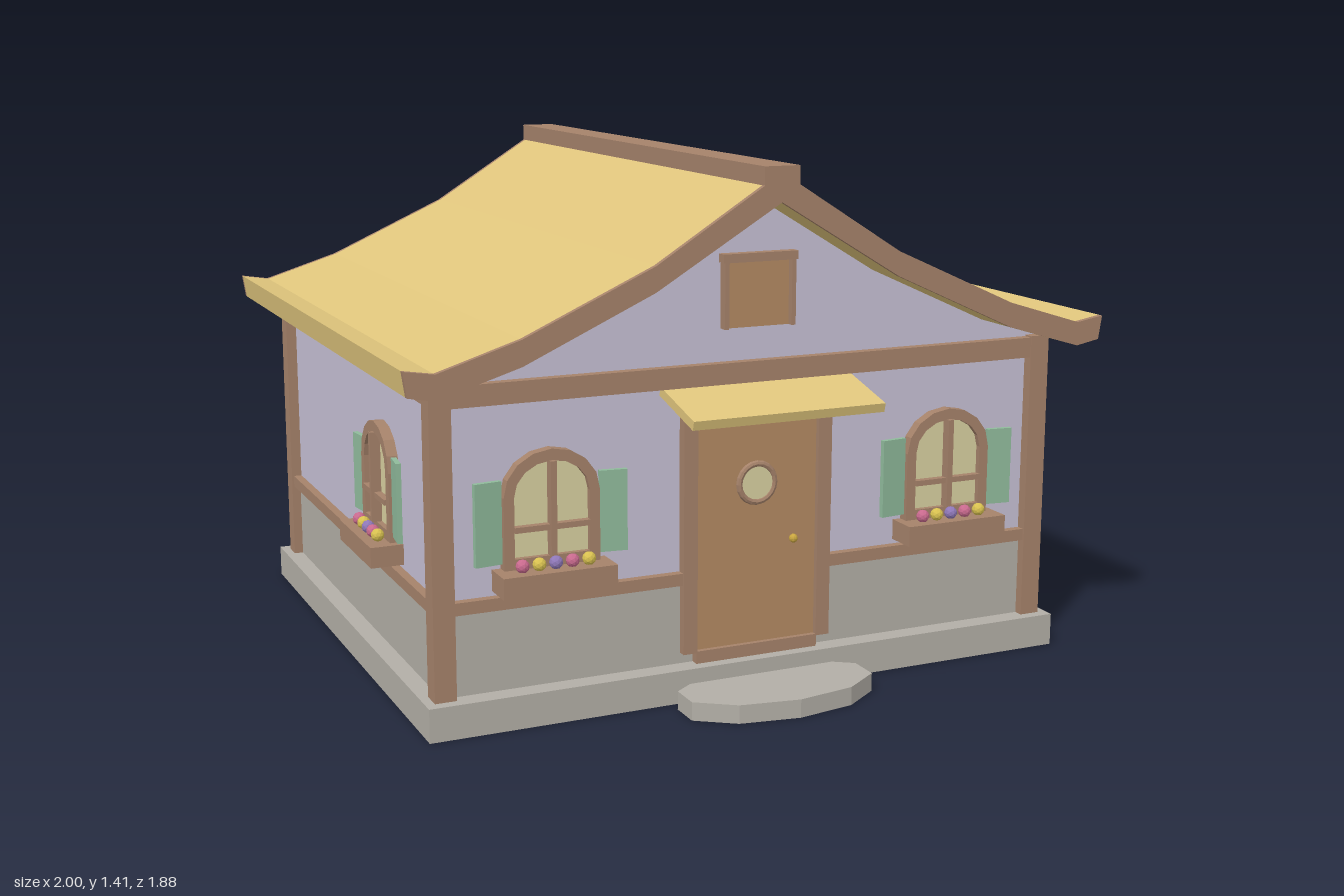
import * as THREE from 'three';

const mat = (color) => new THREE.MeshStandardMaterial({ color, flatShading: true });
const M = {
  wall: mat(0xc6c0d4), stone: mat(0xb2aea6), wood: mat(0xa5826a), door: mat(0xb38a62),
  thatch: mat(0xdfc57c), green: mat(0x8fba9b), glass: mat(0xd8d0a0), brass: mat(0xc9a640),
  pink: mat(0xc96a8e), yellow: mat(0xd8c150), violet: mat(0x8f78b8),
};

// Outer planes of the timber frame
const X = 0.905, ZF = 0.69, ZB = -0.826, ZC = (ZF + ZB) / 2;
const INSET = 0.03;

function add(parent, name, geometry, material, x = 0, y = 0, z = 0) {
  const mesh = new THREE.Mesh(geometry, material);
  mesh.name = name;
  mesh.position.set(x, y, z);
  parent.add(mesh);
  return mesh;
}

// Box given by its minimum and maximum along each axis
function box(parent, name, material, x0, x1, y0, y1, z0, z1) {
  return add(parent, name, new THREE.BoxGeometry(x1 - x0, y1 - y0, z1 - z0), material,
    (x0 + x1) / 2, (y0 + y1) / 2, (z0 + z1) / 2);
}

function extrude(shape, depth) {
  return new THREE.ExtrudeGeometry(shape, { depth, bevelEnabled: false, curveSegments: 4 });
}

// Mirrors a right-hand outline, listed from bottom to top, into a closed shape
function mirrored(points) {
  const left = points.filter(([x]) => x > 0).map(([x, y]) => [-x, y]).reverse();
  return [...points, ...left];
}

const toShape = (points) => new THREE.Shape(points.map(([x, y]) => new THREE.Vector2(x, y)));

// Arched outline: straight sides up to the spring line, then a half ellipse
function archPoints(w, y0, spring, top) {
  const pts = [new THREE.Vector2(-w, y0), new THREE.Vector2(w, y0)];
  for (let i = 0; i <= 8; i++) {
    const a = (i / 8) * Math.PI;
    pts.push(new THREE.Vector2(w * Math.cos(a), spring + (top - spring) * Math.sin(a)));
  }
  return pts;
}

// Arched window with shutters and flower box; local z = 0 is the wall face
function makeWindow(x, z, turn) {
  const g = new THREE.Group();
  g.name = 'window';
  const frame = new THREE.Shape(archPoints(0.13, 0.41, 0.6, 0.717));
  frame.holes.push(new THREE.Path(archPoints(0.102, 0.44, 0.6, 0.687)));
  add(g, 'windowFrame', extrude(frame, INSET), M.wood);
  add(g, 'windowGlass', extrude(new THREE.Shape(archPoints(0.104, 0.43, 0.6, 0.688)), 0.015), M.glass);
  box(g, 'mullion', M.wood, -0.008, 0.008, 0.44, 0.687, 0.01, 0.043);
  box(g, 'crossBar', M.wood, -0.102, 0.102, 0.508, 0.523, 0.01, 0.035);
  for (const s of [-1, 1]) {
    const shutter = add(g, 'shutter', new THREE.BoxGeometry(0.074, 0.215, 0.014), M.green, s * 0.17, 0.537, 0.02);
    shutter.rotation.y = -s * 0.12;
  }
  box(g, 'flowerBox', M.wood, -0.154, 0.154, 0.356, 0.412, 0, 0.09);
  [M.pink, M.yellow, M.violet, M.pink, M.yellow].forEach((m, i) => {
    add(g, 'flower', new THREE.IcosahedronGeometry(0.018, 1), m, (i - 2) * 0.045, 0.427, 0.052);
  });
  g.position.set(x, 0, z);
  g.rotation.y = turn;
  return g;
}

function makeWalls() {
  const g = new THREE.Group();
  g.name = 'walls';
  const wx = X - INSET, z0 = ZB + INSET, z1 = ZF - INSET;
  box(g, 'foundation', M.stone, -0.93, 0.93, 0, 0.09, -0.86, 0.72);
  box(g, 'stoneWall', M.stone, -wx - 0.004, wx + 0.004, 0.085, 0.325, z0 - 0.004, z1 + 0.004);
  // Plaster wall rising into both gables
  const outline = mirrored([[wx, 0.325], [wx, 0.92], [0.7, 0.965], [0.347, 1.125], [0, 1.335]]);
  add(g, 'plasterWall', extrude(toShape(outline), z1 - z0), M.wall, 0, 0, z0);

  // Timber frame
  for (const sx of [-1, 1]) {
    for (const z of [ZF - 0.029, ZB + 0.029]) {
      add(g, 'cornerPost', new THREE.BoxGeometry(0.058, 0.81, 0.058), M.wood, sx * (X - 0.029), 0.495, z);
    }
    for (const [y0, y1] of [[0.31, 0.343], [0.843, 0.895]]) {
      add(g, 'sideRail', new THREE.BoxGeometry(0.04, y1 - y0, ZF - ZB - 0.1), M.wood,
        sx * (X - 0.026), (y0 + y1) / 2, ZC);
    }
    // The front lower rail stops at the door frame
    box(g, 'frontRail', M.wood, sx < 0 ? -0.86 : 0.21, sx < 0 ? -0.21 : 0.86, 0.31, 0.343, ZF - 0.046, ZF - 0.006);
  }
  box(g, 'backRail', M.wood, -0.86, 0.86, 0.31, 0.343, ZB + 0.006, ZB + 0.046);
  box(g, 'frontBeam', M.wood, -X, X, 0.84, 0.896, ZF - 0.046, ZF - 0.002);
  box(g, 'backBeam', M.wood, -X, X, 0.84, 0.896, ZB + 0.002, ZB + 0.046);
  return g;
}

function makeRoof() {
  const g = new THREE.Group();
  g.name = 'roof';
  const under = [[0.92, 0.887], [0.7, 0.953], [0.347, 1.112], [0, 1.32]];
  const upper = [[0.99, 0.9], [1, 0.965], [0.92, 0.952], [0.7, 1.02], [0.347, 1.178], [0, 1.395]];
  const flip = ([x, y]) => [-x, y];
  const shape = toShape([
    ...under.slice().reverse(), ...upper,
    ...upper.slice(0, -1).reverse().map(flip), ...under.slice(0, -1).map(flip),
  ]);
  add(g, 'thatch', extrude(shape, 1.71), M.thatch, 0, 0, -0.925);
  for (const z of [-0.94, 0.785]) add(g, 'bargeboard', extrude(shape, 0.015), M.wood, 0, 0, z);
  box(g, 'ridgeBeam', M.wood, -0.05, 0.05, 1.35, 1.412, -0.94, 0.8);
  return g;
}

function makeDoor() {
  const g = new THREE.Group();
  g.name = 'door';
  const z = ZF - INSET;
  for (const s of [-1, 1]) {
    box(g, 'doorJamb', M.wood, s * 0.198 - 0.02, s * 0.198 + 0.02, 0.12, 0.8, z - 0.01, ZF - 0.001);
  }
  box(g, 'doorLintel', M.wood, -0.218, 0.218, 0.743, 0.8, z - 0.01, ZF - 0.002);
  box(g, 'doorSill', M.wood, -0.18, 0.18, 0.085, 0.124, z - 0.01, ZF - 0.002);
  box(g, 'doorPanel', M.door, -0.18, 0.18, 0.123, 0.745, z - 0.01, z + 0.014);
  add(g, 'portholeRim', new THREE.TorusGeometry(0.052, 0.009, 8, 20), M.wood, 0, 0.565, z + 0.016);
  add(g, 'portholeGlass', new THREE.CylinderGeometry(0.05, 0.05, 0.008, 20), M.glass, 0, 0.565, z + 0.016)
    .rotation.x = Math.PI / 2;
  add(g, 'doorKnob', new THREE.SphereGeometry(0.012, 10, 8), M.brass, 0.108, 0.402, z + 0.024);

  // Sloping canopy
  const canopy = add(g, 'canopy', new THREE.BoxGeometry(0.55, 0.025, 0.21), M.thatch, 0, 0.807, 0.762);
  canopy.rotation.x = 0.25;

  // Rounded doorstep
  add(g, 'doorstep', new THREE.CylinderGeometry(0.28, 0.28, 0.05, 10), M.stone, 0, 0.025, 0.8).scale.z = 0.5;
  return g;
}

// Small loft hatch in the front gable
function makeHatch() {
  const g = new THREE.Group();
  g.name = 'loftHatch';
  const z = ZF - INSET;
  box(g, 'hatchPanel', M.door, -0.092, 0.092, 0.984, 1.16, z - 0.01, z + 0.01);
  for (const s of [-1, 1]) {
    box(g, 'hatchPost', M.wood, s * 0.097 - 0.006, s * 0.097 + 0.006, 0.984, 1.16, z - 0.01, z + 0.028);
  }
  box(g, 'hatchLintel', M.wood, -0.108, 0.108, 1.157, 1.18, z - 0.01, z + 0.029);
  return g;
}

export function createModel() {
  const model = new THREE.Group();
  model.name = 'cottage';
  model.add(makeWalls(), makeRoof(), makeDoor(), makeHatch());
  for (const s of [-1, 1]) {
    model.add(makeWindow(s * 0.585, ZF - INSET, 0));
    model.add(makeWindow(s * (X - INSET), 0.195, s * Math.PI / 2));
  }
  model.add(makeWindow(0, ZB + INSET, Math.PI));
  return model;
}
